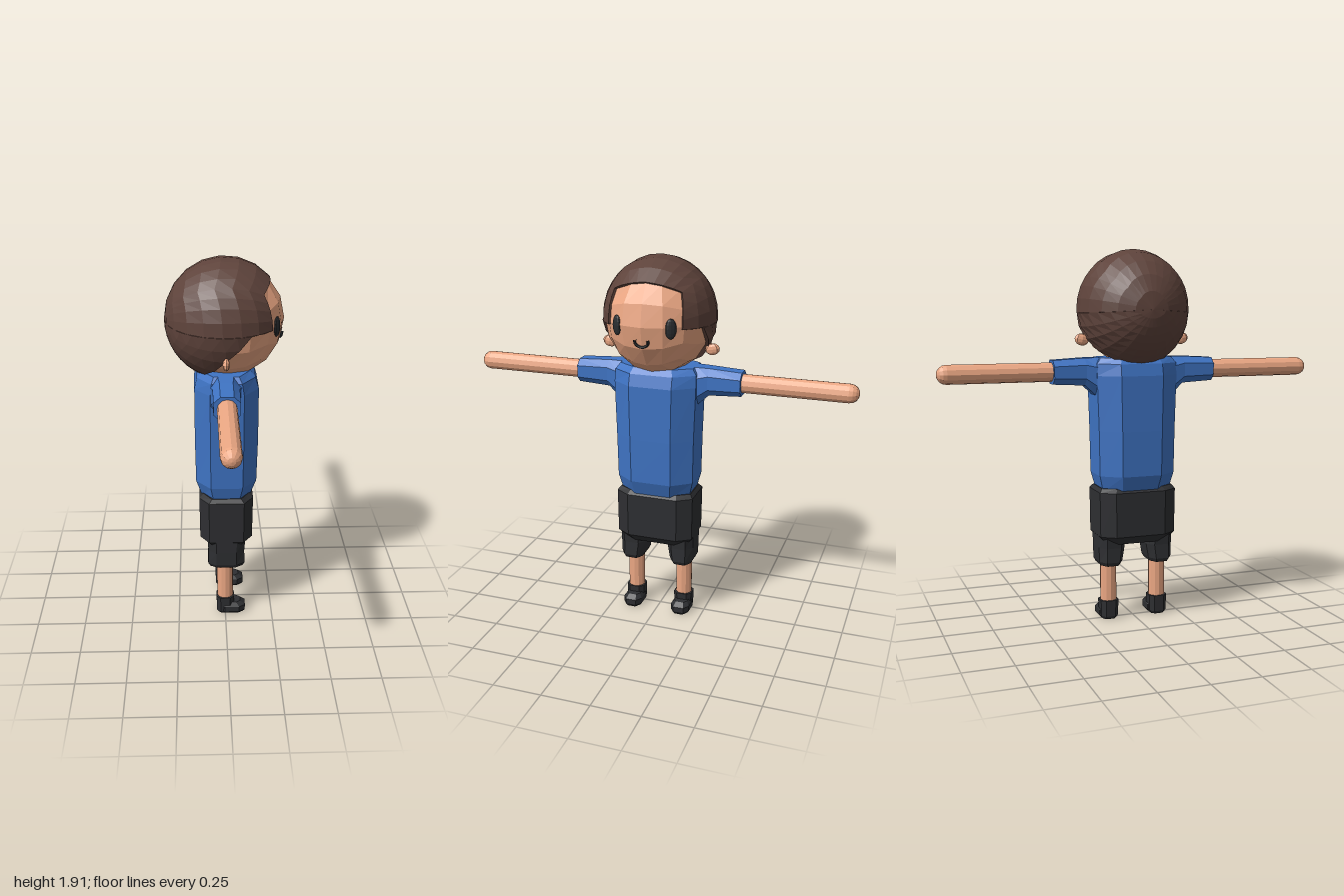
import * as THREE from 'three';
import { mergeVertices } from 'three/addons/utils/BufferGeometryUtils.js';

const material = (color) => new THREE.MeshStandardMaterial({ color, flatShading: true });
const skin = material(0xeba783);
const hairMat = material(0x5e433b);
const shirt = material(0x3f74c4);
const dark = material(0x2e2f32);
const ink = material(0x2a2d30);

function part(parent, name, geometry, mat, x = 0, y = 0, z = 0) {
  const mesh = new THREE.Mesh(geometry, mat);
  mesh.name = name;
  mesh.position.set(x, y, z);
  parent.add(mesh);
  return mesh;
}

// Skin over rings of points, with the ends capped when asked
function skinRings(rings, capped = true) {
  const n = rings[0].length;
  const points = rings.flat();
  const index = [];
  for (let r = 0; r < rings.length - 1; r++) {
    for (let i = 0; i < n; i++) {
      const a = r * n + i, b = r * n + (i + 1) % n;
      index.push(a, b, b + n, a, b + n, a + n);
    }
  }
  if (capped) {
    const top = (rings.length - 1) * n;
    for (let i = 1; i < n - 1; i++) index.push(0, i + 1, i, top, top + i, top + i + 1);
  }
  const g = new THREE.BufferGeometry().setFromPoints(points);
  g.setIndex(index);
  g.computeVertexNormals();
  return g;
}

// Loft of bevelled rectangles; each section is [y, half x, half z, centre x, centre z]
function loft(sections, bevel = 0.45) {
  const k = 1 - bevel;
  const corners = [[1, k], [1, -k], [k, -1], [-k, -1], [-1, -k], [-1, k], [-k, 1], [k, 1]];
  return skinRings(sections.map(([y, hx, hz, cx = 0, cz = 0]) =>
    corners.map(([u, v]) => new THREE.Vector3(cx + u * hx, y, cz + v * hz))));
}

// Faceted ball made of evenly split quads
function quadBall(rx, ry, rz) {
  let g = new THREE.BoxGeometry(2, 2, 2, 4, 4, 4);
  g.deleteAttribute('normal');
  g.deleteAttribute('uv');
  g = mergeVertices(g);
  const p = g.attributes.position, v = new THREE.Vector3();
  for (let i = 0; i < p.count; i++) {
    v.fromBufferAttribute(p, i);
    v.set(...v.toArray().map((c) => Math.tan(c * Math.PI / 4))).normalize();
    p.setXYZ(i, v.x * rx, v.y * ry, v.z * rz);
  }
  g.computeVertexNormals();
  return g;
}

// Hair shell: sweeps from the back of the head to the hairline, then folds inward
function hairGeometry() {
  const half = [
    [0.22, 0.2, 0], [0.215, 0.19, 0.09], [0.185, 0.16, 0.18], [0.21, 0.08, 0.19], [0.22, -0.01, 0.19],
    [0.12, -0.015, 0.265], [0, -0.14, 0.255], [-0.1, -0.24, 0.14], [-0.12, -0.27, 0],
  ];
  const outline = [...half, ...half.slice(1, -1).reverse().map(([x, y, z]) => [x, y, -z])]
    .map((p) => new THREE.Vector3(...p).normalize());
  const edge = outline.flatMap((p, i) =>
    [p, p.clone().add(outline[(i + 1) % outline.length]).normalize()]);
  const back = new THREE.Vector3(-1, 0, 0);
  const steps = 8;
  const radii = new THREE.Vector3(0.297, 0.302, 0.285);
  const rings = [];
  for (let s = 0; s <= steps; s++) {
    rings.push(edge.map((e) => {
      const angle = back.angleTo(e), t = s / steps;
      return back.clone().multiplyScalar(Math.sin((1 - t) * angle))
        .addScaledVector(e, Math.sin(t * angle)).divideScalar(Math.sin(angle)).multiply(radii);
    }));
  }
  rings.push(rings[steps].map((p) => p.clone().multiplyScalar(0.9)));
  return skinRings(rings, false);
}

function addHead(root) {
  const head = new THREE.Group();
  head.name = 'head';
  head.position.y = 1.61;
  root.add(head);
  part(head, 'face', quadBall(0.283, 0.285, 0.268), skin, 0.01);
  const hair = part(head, 'hair', hairGeometry(), hairMat.clone());
  hair.material.side = THREE.DoubleSide;
  for (const side of [1, -1]) {
    const label = side < 0 ? 'left' : 'right';
    const eye = part(head, label + 'Eye', new THREE.SphereGeometry(1, 12, 8), ink, 0.247, -0.005, side * 0.135);
    eye.scale.set(0.012, 0.05, 0.028);
    eye.rotation.y = -side * 0.5;
    // Ear: a small lump with a drooping lobe
    const ear = part(head, label + 'Ear', new THREE.SphereGeometry(1, 8, 6), skin, 0, -0.15, side * 0.27);
    ear.scale.set(0.017, 0.03, 0.038);
    ear.rotation.x = -side * 0.2;
  }
  // Curved smile
  const arc = [];
  for (let i = 0; i <= 10; i++) {
    const a = Math.PI * (0.88 + 1.24 * i / 10);
    arc.push(new THREE.Vector3(0.28 + 0.006 * Math.sin(a), -0.07 + 0.027 * Math.sin(a), 0.034 * Math.cos(a)));
  }
  part(head, 'mouth', new THREE.TubeGeometry(new THREE.CatmullRomCurve3(arc), 14, 0.007, 6), ink);
}

function addArm(root, side) {
  const arm = new THREE.Group();
  arm.name = side < 0 ? 'leftArm' : 'rightArm';
  arm.position.y = 1.3;
  arm.rotation.y = side < 0 ? Math.PI : 0;
  root.add(arm);
  // Arm reaching straight out to a rounded end
  const limb = part(arm, 'forearm', new THREE.CapsuleGeometry(0.048, 0.604, 4, 12), skin, 0, 0, 0.65);
  limb.rotation.x = Math.PI / 2;
  // Sleeve flaring down towards the armpit
  const sleeve = part(arm, 'sleeve', loft([
    [0.15, 0.077, 0.105, 0, 0.035], [0.21, 0.075, 0.095, 0, 0.025],
    [0.265, 0.066, 0.069, 0, 0], [0.43, 0.064, 0.06, 0, 0],
  ], 0.5), shirt);
  sleeve.rotation.x = Math.PI / 2;
}

function addLeg(root, side) {
  const leg = new THREE.Group();
  leg.name = side < 0 ? 'leftLeg' : 'rightLeg';
  leg.position.z = side * 0.135;
  root.add(leg);
  part(leg, 'shin', new THREE.CylinderGeometry(0.043, 0.043, 0.3, 12), skin, 0, 0.22, 0);
  part(leg, 'shortsLeg', loft([
    [0.295, 0.085, 0.052, 0.005], [0.315, 0.096, 0.062, 0.005],
    [0.39, 0.094, 0.07, 0.005, -side * 0.005], [0.47, 0.1, 0.066, 0.005],
  ]), dark);
  // Shoe: ankle cuff and a low rounded toe
  part(leg, 'shoeCuff', loft([
    [0, 0.038, 0.036], [0.015, 0.045, 0.045], [0.1, 0.047, 0.048],
  ]), dark);
  part(leg, 'shoeToe', loft([
    [0, 0.06, 0.038, 0.035], [0.014, 0.07, 0.05, 0.035],
    [0.045, 0.07, 0.05, 0.036], [0.066, 0.05, 0.036, 0.03],
  ]), dark);
}

export function createModel() {
  const root = new THREE.Group();
  root.name = 'figure';
  addHead(root);
  // Shirt body
  part(root, 'torso', loft([
    [0.685, 0.125, 0.18, 0.005], [0.77, 0.155, 0.201, 0.006], [1.0, 0.16, 0.205, 0.007],
    [1.28, 0.16, 0.214, 0.007], [1.34, 0.145, 0.212, 0.005], [1.37, 0.12, 0.19, 0.003],
  ], 0.48), shirt);
  // Shorts, hips to crotch
  part(root, 'shorts', loft([
    [0.41, 0.095, 0.165, 0.005], [0.455, 0.136, 0.202, 0.005],
    [0.685, 0.139, 0.205, 0.005], [0.705, 0.115, 0.19, 0.005],
  ], 0.35), dark);
  for (const side of [1, -1]) {
    addArm(root, side);
    addLeg(root, side);
  }
  return root;
}
